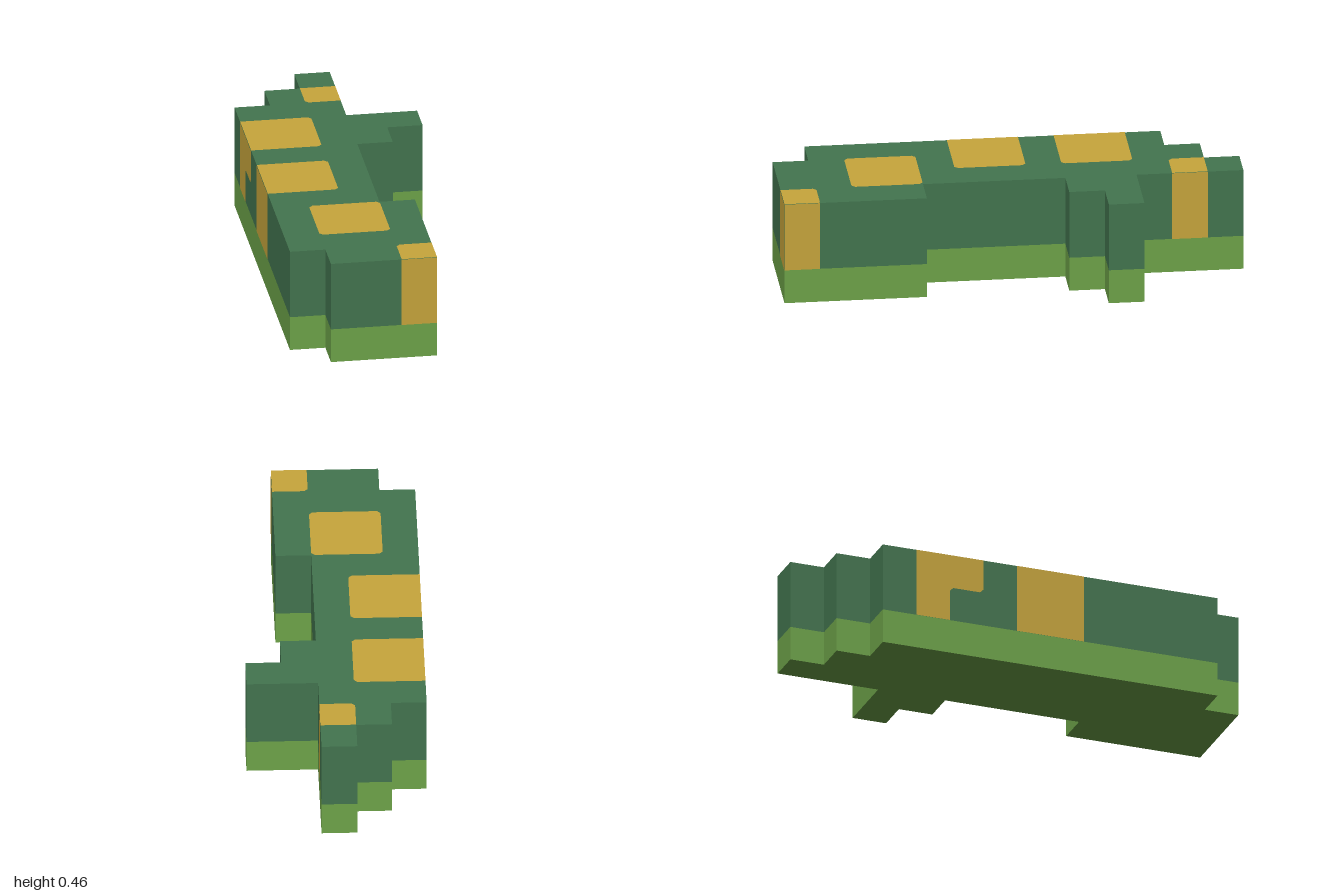
import * as THREE from 'three';

const U = 2 / 13;   // one grid cell
const LIFT = 0.0015; // patch offset from the body
const CUT = 0.015;   // trimmed patch corners

const X = c => (c - 2.5) * U;
const Z = r => (r - 6.5) * U;

function material(name, color) {
  const m = new THREE.MeshStandardMaterial({ color });
  m.name = name;
  return m;
}

// Shape from [x, y, trimmed?] corners; trimmed corners are cut off diagonally
function shapeOf(corners) {
  const pts = [];
  corners.forEach(([x, y, trimmed], i) => {
    const p = new THREE.Vector2(x, y);
    if (!trimmed) { pts.push(p); return; }
    for (const k of [i + corners.length - 1, i + 1]) {
      const q = corners[k % corners.length];
      const d = new THREE.Vector2(q[0], q[1]).sub(p).setLength(CUT);
      pts.push(p.clone().add(d));
    }
  });
  return new THREE.Shape(pts);
}

export function createModel() {
  const model = new THREE.Group();
  const darkGreen = material('dark green', 0x43754f);
  const lightGreen = material('light green', 0x6ea449);
  const ochre = material('ochre', 0xc8a63c);

  const add = (name, geometry, mat, x = 0, y = 0, z = 0) => {
    const mesh = new THREE.Mesh(geometry, mat);
    mesh.name = name;
    mesh.position.set(x, y, z);
    model.add(mesh);
  };

  // Stepped footprint in [column, row] cells
  const outline = [
    [2, 0], [3, 0], [3, 3], [5, 3], [5, 4], [4, 4], [4, 5], [3, 5], [3, 9], [4, 9],
    [4, 13], [1, 13], [1, 12], [0, 12], [0, 2], [1, 2], [1, 1], [2, 1],
  ].map(([c, r]) => [X(c), -Z(r)]);
  const slab = depth => new THREE.ExtrudeGeometry(shapeOf(outline), { depth, bevelEnabled: false })
    .rotateX(-Math.PI / 2);
  add('belly', slab(U), lightGreen);
  add('back', slab(2 * U), darkGreen, 0, U, 0);

  // Patches on top: [c0, r0, c1, r1, trims for the corners going round]
  const topPatches = [
    [2, 1, 3, 2, [0, 0, 0, 1]],
    [0, 3, 2, 5, [0, 1, 1, 0]],
    [0, 6, 2, 8, [0, 1, 1, 0]],
    [1, 9, 3, 11, [1, 1, 1, 1]],
    [3, 12, 4, 13, [1, 0, 0, 0]],
  ];
  for (const [c0, r0, c1, r1, t] of topPatches) {
    const corners = [
      [X(c0), -Z(r0), t[0]], [X(c1), -Z(r0), t[1]], [X(c1), -Z(r1), t[2]], [X(c0), -Z(r1), t[3]],
    ];
    add('topPatch', new THREE.ShapeGeometry(shapeOf(corners)).rotateX(-Math.PI / 2), ochre, 0, 3 * U + LIFT, 0);
  }

  // Patches on the walls
  const rect = (a, b) => shapeOf([[a, U], [b, U], [b, 3 * U], [a, 3 * U]]);
  add('frontPatch', new THREE.ShapeGeometry(rect(X(3), X(4))), ochre, 0, 0, 1 + LIFT);
  for (const [c, r] of [[3, 1], [4, 12]]) {
    add('leftPatch', new THREE.ShapeGeometry(rect(-Z(r + 1), -Z(r))).rotateY(Math.PI / 2), ochre, X(c) + LIFT, 0, 0);
  }
  const hooked = shapeOf([
    [Z(3), U], [Z(4), U], [Z(4), 2 * U, 1], [Z(5), 2 * U, 1], [Z(5), 3 * U], [Z(3), 3 * U],
  ]);
  for (const shape of [hooked, rect(Z(6), Z(8))]) {
    add('rightPatch', new THREE.ShapeGeometry(shape).rotateY(-Math.PI / 2), ochre, X(0) - LIFT, 0, 0);
  }
  return model;
}
